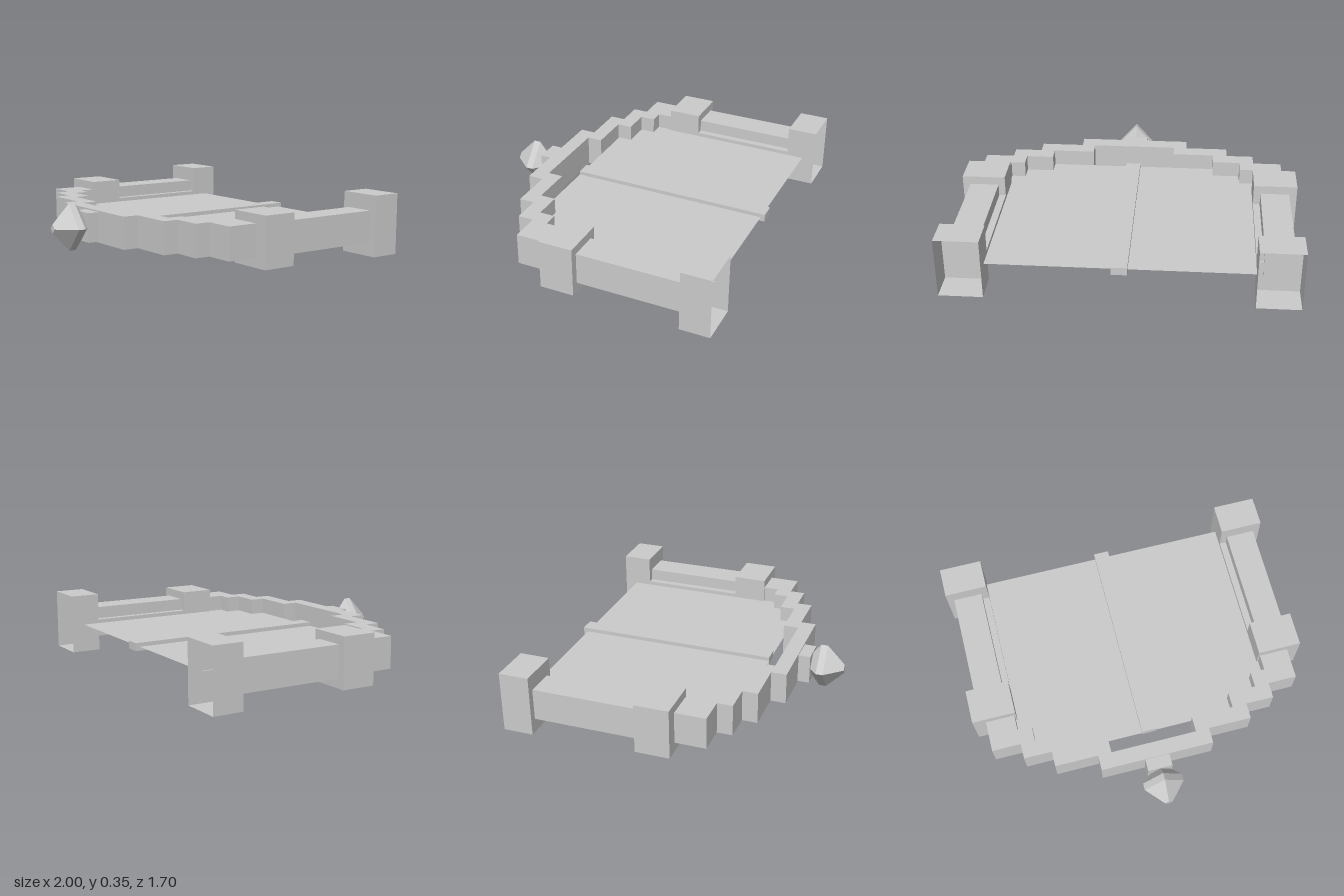
import * as THREE from 'three';

const material = new THREE.MeshStandardMaterial({
  color: 0xcccccc, flatShading: true, side: THREE.DoubleSide,
});

function add(parent, name, geometry) {
  const mesh = new THREE.Mesh(geometry, material);
  mesh.name = name;
  parent.add(mesh);
  return mesh;
}

// Box given by its minimum and maximum corners
function block(x0, x1, y0, y1, z0, z1) {
  return new THREE.BoxGeometry(x1 - x0, y1 - y0, z1 - z0)
    .translate((x0 + x1) / 2, (y0 + y1) / 2, (z0 + z1) / 2);
}

// Same box without its back (-z) face, which is the last six indices
function openBackBlock(...bounds) {
  const geometry = block(...bounds);
  geometry.setIndex(Array.from(geometry.index.array).slice(0, 30));
  geometry.clearGroups();
  return geometry;
}

export function createModel() {
  const model = new THREE.Group();
  model.name = 'balcony';

  // Thin floor with a central batten showing above and below it
  add(model, 'floor', new THREE.PlaneGeometry(1.51, 1.18)
    .rotateX(-Math.PI / 2).translate(0, 0.17, -0.185));
  add(model, 'centerBatten', block(-0.045, 0.045, 0.147, 0.193, -0.8, 0.405));

  // Side rails, edge battens and posts, one set per side
  for (const [label, s] of [['left', 1], ['right', -1]]) {
    const side = new THREE.Group();
    side.name = label + 'Side';
    const xs = (a, b) => (s > 0 ? [a, b] : [-b, -a]);
    add(side, 'rail', block(...xs(0.785, 0.955), 0.08, 0.265, -0.69, 0));
    add(side, 'edgeBatten', block(...xs(0.745, 0.8), 0.147, 0.193, -0.69, 0));
    add(side, 'rearPost', openBackBlock(...xs(0.745, 0.995), 0, 0.355, -0.85, -0.675));
    add(side, 'frontPost', block(...xs(0.745, 1), 0.025, 0.315, -0.06, 0.14));
    model.add(side);
  }

  // Stepped front parapet: half outlines as [x, z], mirrored to a full band
  const outer = [[0.925, 0.06], [0.925, 0.32], [0.755, 0.32], [0.755, 0.41],
    [0.59, 0.41], [0.59, 0.5], [0.335, 0.5], [0.335, 0.59]];
  const inner = [[0.755, 0.06], [0.755, 0.23], [0.67, 0.23], [0.67, 0.32],
    [0.505, 0.32], [0.505, 0.41], [0.255, 0.41], [0.255, 0.5]];
  const mirrored = (half) => half.map(([x, z]) => [-x, z]).reverse();
  const outline = [...outer, ...mirrored(outer), ...inner.map(([x, z]) => [-x, z]),
    ...[...inner].reverse()];
  const shape = new THREE.Shape(outline.map(([x, z]) => new THREE.Vector2(x, -z)));
  add(model, 'frontParapet', new THREE.ExtrudeGeometry(shape, { depth: 0.185, bevelEnabled: false })
    .rotateX(-Math.PI / 2).translate(0, 0.08, 0));

  // Four-sided faceted finial on a short square neck
  add(model, 'finialNeck', block(-0.075, 0.07, 0.087, 0.257, 0.58, 0.66));
  const profile = [[0, 0.655], [0.068, 0.655], [0.135, 0.705], [0.135, 0.745], [0.027, 0.85], [0, 0.85]]
    .map(([r, z]) => new THREE.Vector2(r, z));
  add(model, 'finial', new THREE.LatheGeometry(profile, 4)
    .rotateX(Math.PI / 2).scale(0.87, 1, 1).translate(0, 0.175, 0));

  return model;
}
